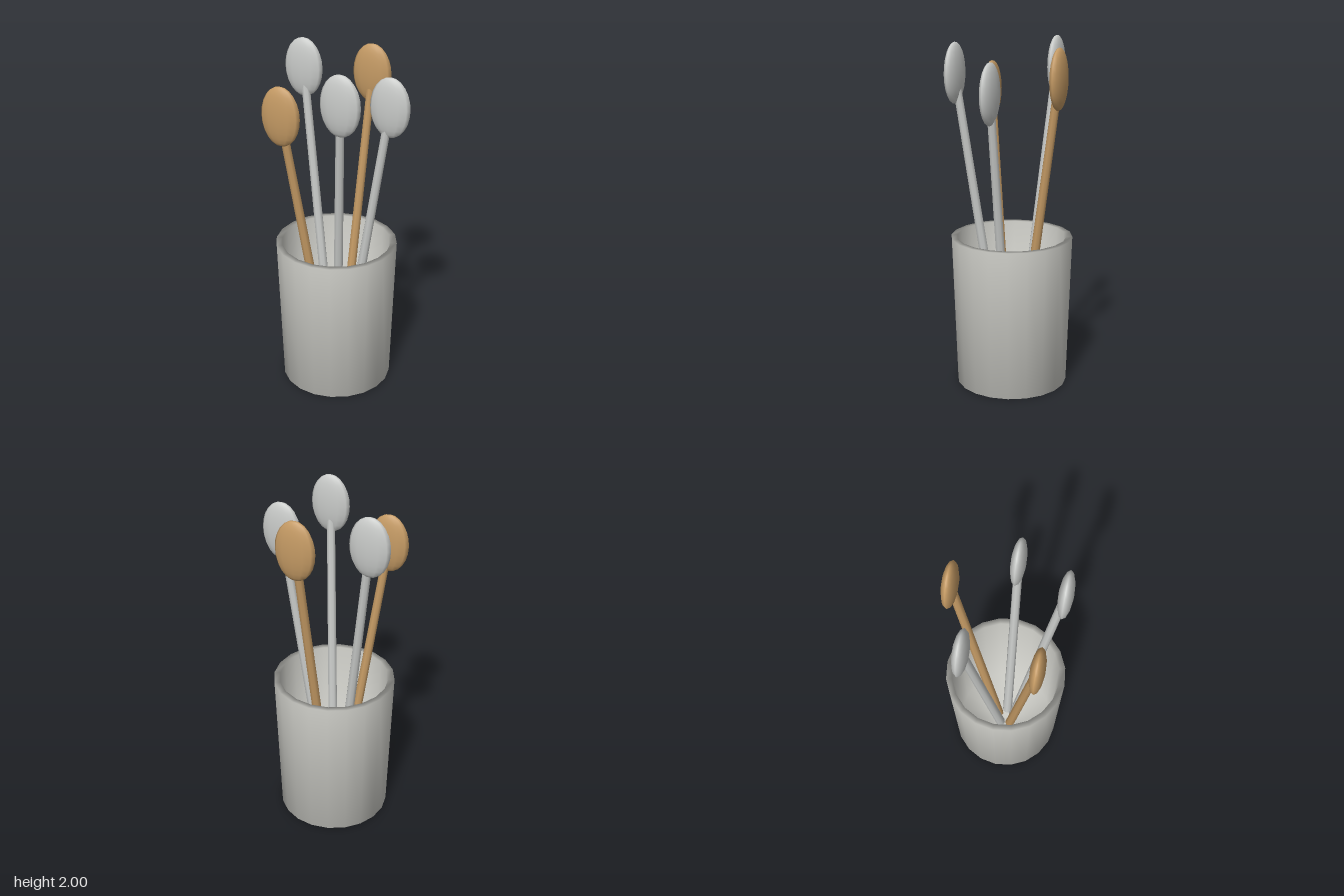
import * as THREE from 'three';

const material = (name, color) => {
  const m = new THREE.MeshStandardMaterial({ color });
  m.name = name;
  return m;
};

export function createModel() {
  const model = new THREE.Group();
  model.name = 'utensilHolder';
  const ceramic = material('ceramic', 0xd0d0ca);
  const metal = material('metal', 0xc8cac8);
  const wood = material('wood', 0xc49a64);
  const centreX = -0.023;

  // Hollow tapered cup: floor, outer wall, rim, inner wall, inner floor
  const profile = [[0, 0], [0.32, 0], [0.348, 0.875], [0.313, 0.875], [0.29, 0.04], [0, 0.04]]
    .map(([r, y]) => new THREE.Vector2(r, y));
  const cup = new THREE.Mesh(new THREE.LatheGeometry(profile, 20), ceramic);
  cup.name = 'cup';
  cup.position.x = centreX;
  model.add(cup);

  // Flattened oval spoon head, shared by all utensils
  const headGeometry = new THREE.SphereGeometry(1, 12, 12).scale(0.115, 0.17, 0.04);

  // Utensils lean outwards from the cup floor: head x, y, z and material
  const utensils = [
    [0.29, 1.735, 0, metal],
    [0.125, 1.815, 0.278, metal],
    [-0.252, 1.675, 0.215, wood],
    [-0.295, 1.83, -0.165, metal],
    [0.06, 1.8, -0.305, wood],
  ];
  for (const [x, y, z, mat] of utensils) {
    const spoon = new THREE.Group();
    spoon.name = mat === wood ? 'woodenSpoon' : 'metalSpoon';

    const top = new THREE.Vector3(x, y, z);
    const outward = new THREE.Vector3(x - centreX, 0, z).normalize();
    const base = new THREE.Vector3(centreX, 0.04, 0).addScaledVector(outward, 0.05);
    const end = base.clone().lerp(top, 0.95);
    const direction = end.clone().sub(base);

    const handle = new THREE.Mesh(
      new THREE.CylinderGeometry(0.024, 0.029, direction.length(), 8), mat);
    handle.name = 'handle';
    handle.position.copy(base).add(end).multiplyScalar(0.5);
    handle.quaternion.setFromUnitVectors(new THREE.Vector3(0, 1, 0), direction.normalize());

    const head = new THREE.Mesh(headGeometry, mat);
    head.name = 'head';
    head.position.copy(top);

    spoon.add(handle, head);
    model.add(spoon);
  }
  return model;
}
